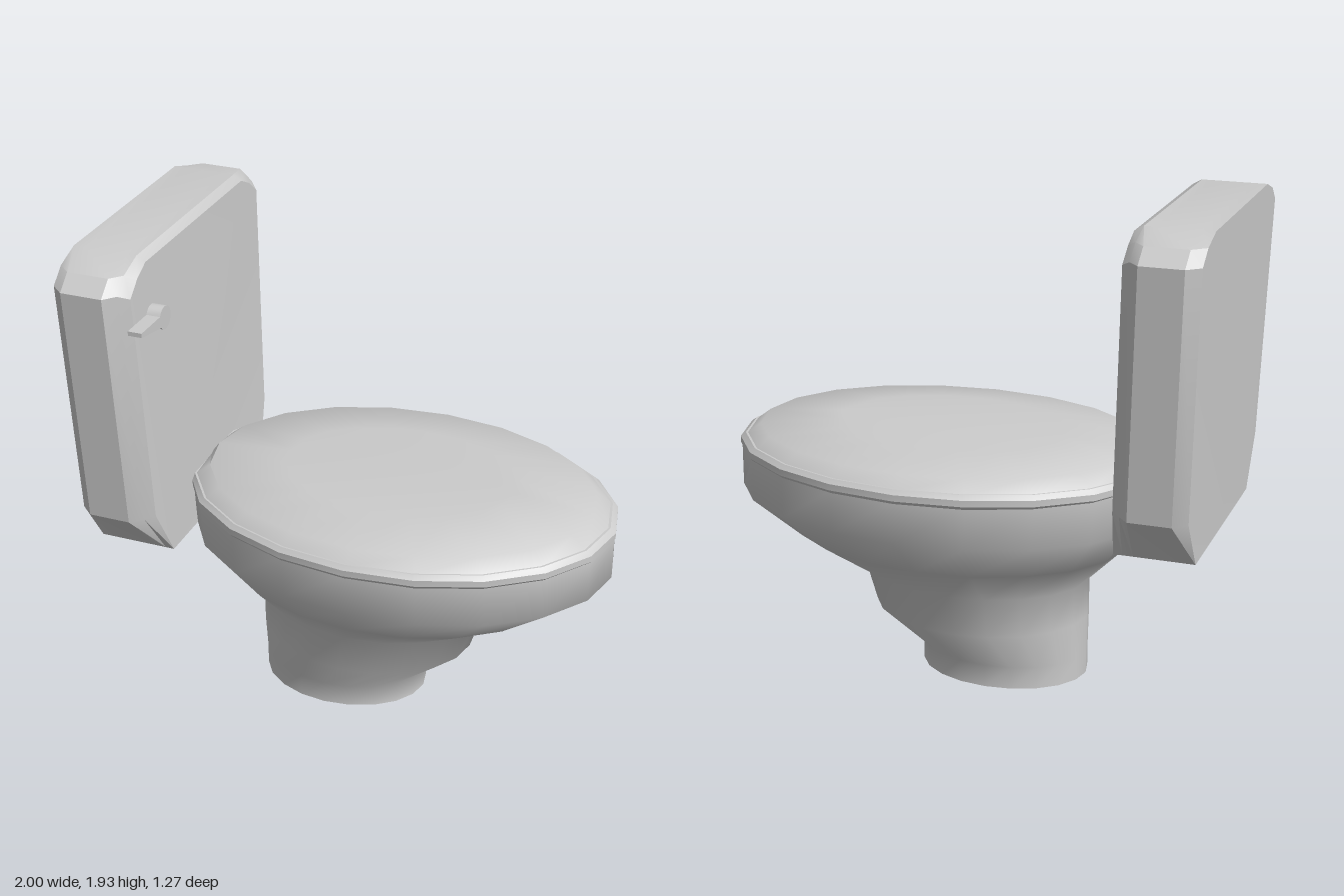
import * as THREE from 'three';
import { toCreasedNormals } from 'three/addons/utils/BufferGeometryUtils.js';

const material = new THREE.MeshStandardMaterial({ color: 0xcccccc });

// Skin a stack of closed rings and cap both ends
function loft(rings, crease) {
  const pos = [];
  const tri = (...pts) => pts.forEach((p) => pos.push(p.x, p.y, p.z));
  const n = rings[0].length;
  for (let r = 0; r < rings.length - 1; r++) {
    for (let i = 0; i < n; i++) {
      const j = (i + 1) % n, lo = rings[r], hi = rings[r + 1];
      tri(lo[i], hi[i], lo[j]);
      tri(lo[j], hi[i], hi[j]);
    }
  }
  const first = rings[0], last = rings[rings.length - 1];
  for (let i = 1; i < n - 1; i++) {
    tri(first[0], first[i], first[i + 1]);
    tri(last[0], last[i + 1], last[i]);
  }
  const g = new THREE.BufferGeometry();
  g.setAttribute('position', new THREE.Float32BufferAttribute(pos, 3));
  return toCreasedNormals(g, crease);
}

// Horizontal oval from xMin to xMax, flattened at the back if it passes backLimit
function oval(y, xMin, xMax, halfZ, backLimit = -2) {
  const c = (xMin + xMax) / 2, rx = (xMax - xMin) / 2;
  return Array.from({ length: 20 }, (_, i) => {
    const a = (i / 20) * Math.PI * 2;
    return new THREE.Vector3(Math.max(c + rx * Math.cos(a), backLimit), y, halfZ * Math.sin(a));
  });
}

// Tank outline at one depth; the tank leans forward towards its foot
function tankRing(x, insetZ, insetTop, front) {
  const half = [[0.42, 1.935], [0.57, 1.9], [0.635, 1.845], [0.595, 0.9], [0.42, 0.7]];
  const right = half.map(([z, y]) => [-z, y]);
  const left = half.slice().reverse();
  return [...left, ...right].map(([z, y]) => {
    const lean = 0.03 * Math.min(1, (1.935 - y) / 1.03) + (y < 0.8 ? front * 0.02 : 0);
    const s = Math.sign(z), w = Math.abs(z);
    const zz = w > 0.5 ? w - insetZ : w;
    return new THREE.Vector3(x + lean, y > 1.5 ? y - insetTop : y, s * zz);
  });
}

export function createModel() {
  const group = new THREE.Group();
  const add = (name, geometry) => {
    const mesh = new THREE.Mesh(geometry, material);
    mesh.name = name;
    group.add(mesh);
    return mesh;
  };

  // Pedestal flaring into the bowl
  add('bowl', loft([
    oval(0, -0.44, 0.235, 0.255),
    oval(0.09, -0.44, 0.235, 0.255),
    oval(0.245, -0.44, 0.43, 0.345),
    oval(0.4, -0.44, 0.48, 0.345),
    oval(0.55, -0.59, 0.78, 0.49),
    oval(0.7, -0.72, 0.99, 0.605, -0.67),
    oval(0.87, -0.73, 0.99, 0.605, -0.68),
  ], 1.0));

  // Seat rim with bevelled edges
  const ring = (y, s) => oval(y, 0.13 - 0.865 * s, 0.13 + 0.865 * s, 0.615 * s, -0.685);
  add('seat', loft([ring(0.862, 0.985), ring(0.875, 1), ring(0.9, 1), ring(0.917, 0.975)], 0.5));

  // Gently domed lid
  add('lid', loft([ring(0.91, 0.975), ring(0.96, 0.9), ring(0.99, 0.54)], 0.8));

  // Tank with bevelled sides and a slightly bowed front
  add('tank', loft([
    tankRing(-1, 0.045, 0, 0),
    tankRing(-0.95, 0, 0, 0),
    tankRing(-0.785, 0, 0, 1),
    tankRing(-0.745, 0.045, 0, 1),
    tankRing(-0.71, 0.08, 0.02, 1),
  ], 0.45));

  // Flush lever: round hub tapering to a tip
  const lever = new THREE.Shape();
  lever.absarc(-0.42, 1.705, 0.045, -2.5, 2.7, false);
  lever.lineTo(-0.61, 1.725);
  lever.lineTo(-0.61, 1.708);
  const leverGeo = new THREE.ExtrudeGeometry(lever, { depth: 0.055, bevelEnabled: false, curveSegments: 10 });
  leverGeo.rotateY(Math.PI / 2).translate(-0.697, 0, 0);
  add('flushLever', toCreasedNormals(leverGeo, 0.7));

  // Short stem holding the lever
  const stem = add('leverStem', new THREE.CylinderGeometry(0.024, 0.024, 0.05, 10));
  stem.rotation.z = Math.PI / 2;
  stem.position.set(-0.71, 1.705, 0.41);

  return group;
}
